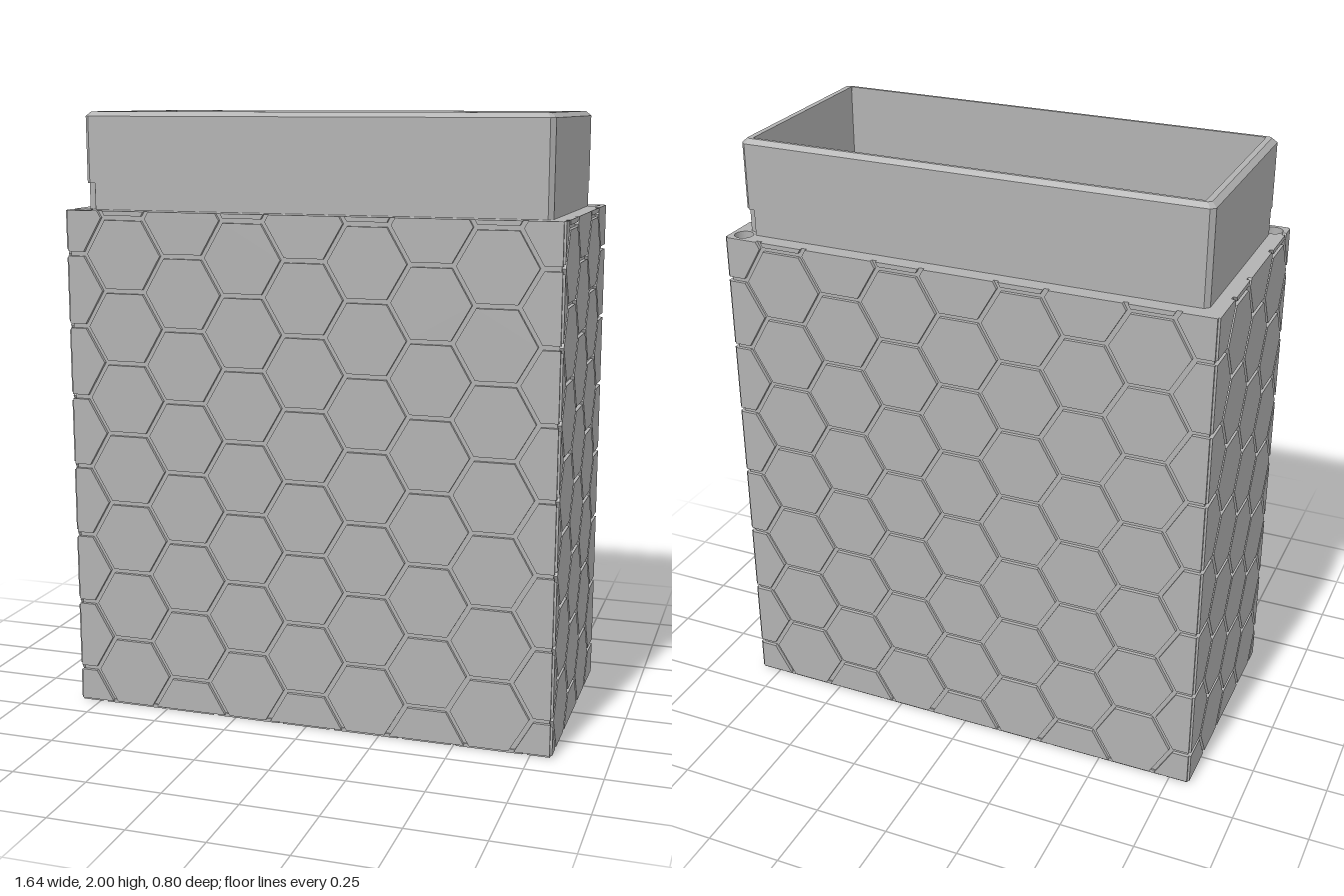
import * as THREE from 'three';
import { mergeGeometries } from 'three/addons/utils/BufferGeometryUtils.js';

const BODY_X = 0.82, BODY_Z = 0.4, BODY_TOP = 1.685;   // outer body
const NECK_X = 0.77, NECK_Z = 0.345, TOP = 2;          // neck
const CAV_X = 0.735, CAV_Z = 0.32, FLOOR = 0.05;       // cavity
const DEPTH = 0.012, GAP = 0.015;                      // honeycomb grooves
const PITCH_U = 0.2055, PITCH_V = 0.2375;              // honeycomb spacing
const HOLE_X = 0.775, HOLE_Z = 0.355;                  // corner sockets

// rectangle with cut corners, counter-clockwise
function rect(hx, hy, c = 0) {
  if (!c) return [[-hx, -hy], [hx, -hy], [hx, hy], [-hx, hy]];
  return [[-hx + c, -hy], [hx - c, -hy], [hx, -hy + c], [hx, hy - c],
    [hx - c, hy], [-hx + c, hy], [-hx, hy - c], [-hx, -hy + c]];
}
const toShape = (pts) => new THREE.Shape(pts.map((p) => new THREE.Vector2(p[0], p[1])));

// horizontal layer raised from y0 to y1
function layer(outline, y0, y1, holes = []) {
  const shape = toShape(outline);
  shape.holes = holes;
  const g = new THREE.ExtrudeGeometry(shape, { depth: y1 - y0, bevelEnabled: false, curveSegments: 16 });
  return g.rotateX(-Math.PI / 2).translate(0, y0, 0);
}

// keep the part of a polygon where axis * sign <= limit
function clip(poly, axis, sign, limit) {
  const out = [];
  poly.forEach((a, i) => {
    const b = poly[(i + 1) % poly.length];
    const da = a[axis] * sign - limit, db = b[axis] * sign - limit;
    if (da <= 0) out.push(a);
    if (da * db < 0) {
      const t = da / (da - db);
      out.push([a[0] + (b[0] - a[0]) * t, a[1] + (b[1] - a[1]) * t]);
    }
  });
  return out;
}

// raised hexagon tiles filling the rectangle, facing +z
function honeycomb(halfU, v0, v1, shift = 0) {
  const tiles = [];
  const ru = PITCH_U / 1.5 - GAP / Math.sqrt(3), hv = (PITCH_V - GAP) / 2;
  for (let i = -6; i <= 6; i++) {
    for (let k = -3; k <= 9; k++) {
      const u = shift + i * PITCH_U, v = (k + (i % 2 ? 0.5 : 0)) * PITCH_V;
      let p = [[ru, 0], [ru / 2, hv], [-ru / 2, hv], [-ru, 0], [-ru / 2, -hv], [ru / 2, -hv]]
        .map(([a, b]) => [u + a, v + b]);
      for (const [axis, sign, limit] of [[0, 1, halfU], [0, -1, halfU], [1, 1, v1], [1, -1, -v0]]) {
        p = clip(p, axis, sign, limit);
      }
      if (p.length < 3 || Math.abs(THREE.ShapeUtils.area(p.map(([x, y]) => ({ x, y })))) < 1e-5) continue;
      tiles.push(new THREE.ExtrudeGeometry(toShape(p), { depth: DEPTH, bevelEnabled: false }));
    }
  }
  return mergeGeometries(tiles);
}

// skin between loops of equal point count, each loop being [points, y]
function loft(loops) {
  const pos = [];
  for (let l = 0; l + 1 < loops.length; l++) {
    const [a, ya] = loops[l], [b, yb] = loops[l + 1];
    a.forEach((p, i) => {
      const j = (i + 1) % a.length;
      const A = [p[0], ya, -p[1]], B = [a[j][0], ya, -a[j][1]];
      const C = [b[j][0], yb, -b[j][1]], D = [b[i][0], yb, -b[i][1]];
      pos.push(...A, ...B, ...C, ...A, ...C, ...D);
    });
  }
  const g = new THREE.BufferGeometry();
  g.setAttribute('position', new THREE.Float32BufferAttribute(pos, 3));
  g.computeVertexNormals();
  return g;
}

// neck outline with a round bite out of two opposite corners
function bittenOutline() {
  const r = 0.04, half = [[NECK_X, -NECK_Z + 0.015]];
  const a0 = Math.atan2(-Math.sqrt(r * r - (HOLE_X - NECK_X) ** 2), NECK_X - HOLE_X);
  const a1 = Math.atan2(NECK_Z - HOLE_Z, -Math.sqrt(r * r - (HOLE_Z - NECK_Z) ** 2));
  for (let i = 0; i <= 10; i++) {
    const a = a0 + (a1 - a0) * i / 10;
    half.push([HOLE_X + r * Math.cos(a), HOLE_Z + r * Math.sin(a)]);
  }
  half.push([-NECK_X + 0.015, NECK_Z]);
  return [...half, ...half.map(([x, y]) => [-x, -y])];
}

export function createModel() {
  const model = new THREE.Group();
  const grey = new THREE.MeshStandardMaterial({ color: 0xb2b2b2 });
  grey.name = 'grey plastic';
  const add = (name, geometry) => {
    const mesh = new THREE.Mesh(geometry, grey);
    mesh.name = name;
    model.add(mesh);
    return mesh;
  };

  const coreX = BODY_X - DEPTH, coreZ = BODY_Z - DEPTH;
  const core = rect(coreX, coreZ);
  const cavity = () => toShape(rect(CAV_X, CAV_Z));
  const socket = (s) => new THREE.Path().absarc(s * HOLE_X, s * HOLE_Z, 0.031, 0, Math.PI * 2);

  // body: floor, walls and ledge with two corner sockets
  add('floor', layer(core, DEPTH, FLOOR));
  add('bodyWalls', layer(core, FLOOR, BODY_TOP - 0.03, [cavity()]));
  add('ledge', layer(core, BODY_TOP - 0.03, BODY_TOP, [cavity(), socket(1), socket(-1)]));

  // neck with bites above the sockets and a chamfered rim
  const neck = rect(NECK_X, NECK_Z, 0.015);
  add('neckBase', layer(bittenOutline(), BODY_TOP, 1.77, [cavity()]));
  add('neck', layer(neck, 1.77, TOP - 0.015, [cavity()]));
  const inner = rect(CAV_X, CAV_Z, 0.002);
  add('rim', loft([[neck, TOP - 0.015], [rect(NECK_X - 0.016, NECK_Z - 0.014, 0.01), TOP],
    [inner, TOP], [inner, TOP - 0.015]]));

  // honeycomb tiles on the four sides and the underside
  const edge = 0.007;
  const wide = honeycomb(BODY_X - edge, edge, BODY_TOP);
  add('frontTiles', wide.clone().translate(0, 0, coreZ));
  add('backTiles', wide.clone().translate(0, 0, coreZ).rotateY(Math.PI));
  for (const s of [1, -1]) {
    const g = honeycomb(BODY_Z - edge, edge, BODY_TOP, -0.05 * s);
    add(s > 0 ? 'leftTiles' : 'rightTiles', g.translate(0, 0, coreX).rotateY(s * Math.PI / 2));
  }
  const under = honeycomb(BODY_X - edge, -BODY_Z + edge, BODY_Z - edge);
  add('undersideTiles', under.translate(0, 0, -DEPTH).rotateX(Math.PI / 2));
  return model;
}
